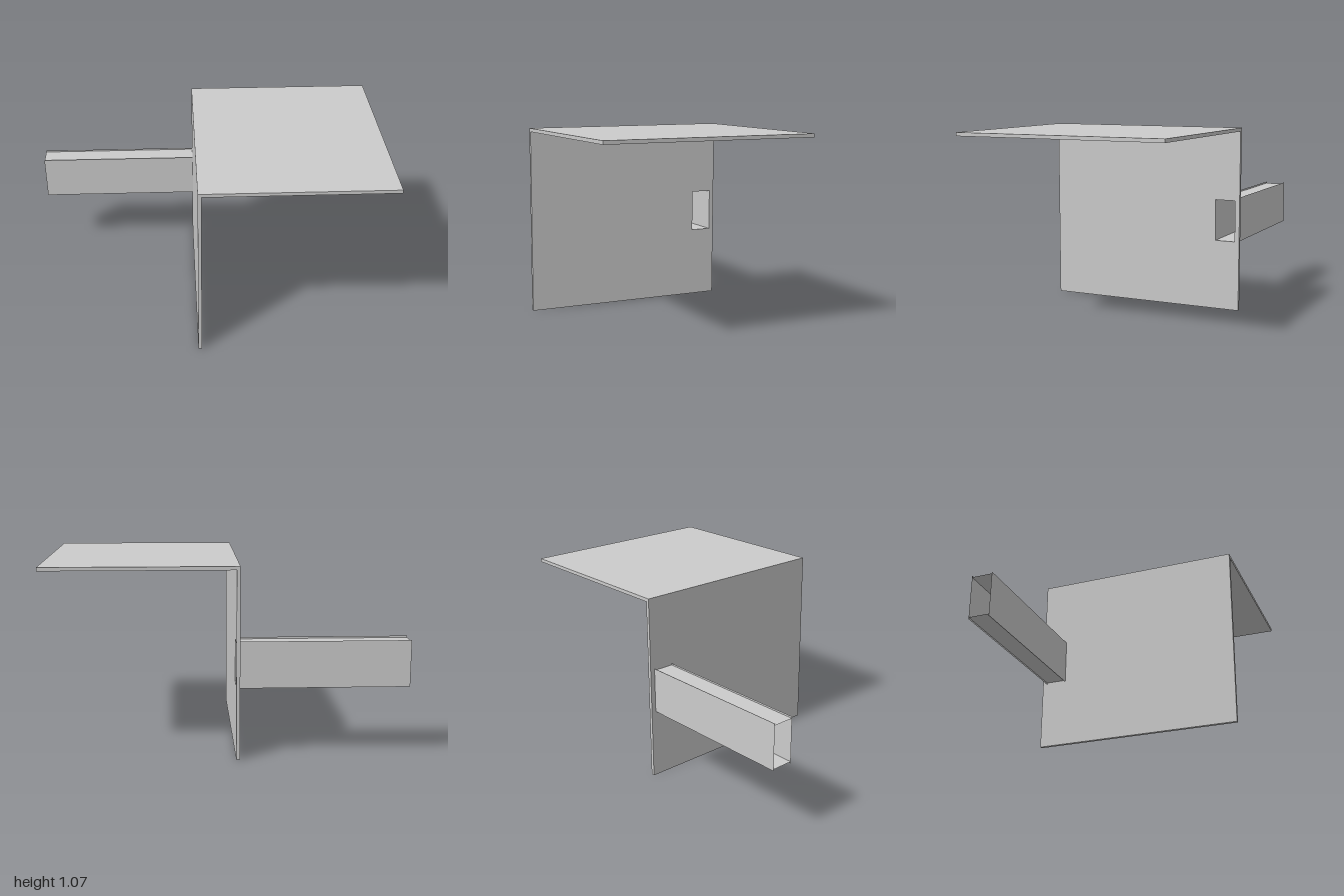
import * as THREE from 'three';

const material = new THREE.MeshStandardMaterial({ color: 0xcccccc, flatShading: true });
const sheetMaterial = new THREE.MeshStandardMaterial({
  color: 0xcccccc, flatShading: true, side: THREE.DoubleSide,
});

// Main dimensions
const T = 0.02;                       // panel thickness
const HEIGHT = 1.067, DEPTH = 1.2;
const WALL_X = -0.067;                // outer face of the wall
const duct = { z0: -0.573, z1: -0.453, y0: 0.407, y1: 0.647, lip: 0.01 };

function rectangle(PathType, x0, y0, x1, y1) {
  return new PathType([[x0, y0], [x1, y0], [x1, y1], [x0, y1]].map(p => new THREE.Vector2(...p)));
}

export function createModel() {
  const model = new THREE.Group();
  const add = (name, geometry, mat, x, y, z, parent = model) => {
    const mesh = new THREE.Mesh(geometry, mat);
    mesh.name = name;
    mesh.position.set(x, y, z);
    parent.add(mesh);
    return mesh;
  };

  // Upright wall with a rectangular opening; shape x runs along -z, extruded along +x
  const outline = rectangle(THREE.Shape, -DEPTH / 2, 0, DEPTH / 2, HEIGHT - T);
  outline.holes.push(rectangle(THREE.Path, -duct.z1, duct.y0, -duct.z0, duct.y1));
  const wall = new THREE.ExtrudeGeometry(outline, { depth: T, bevelEnabled: false });
  wall.rotateY(Math.PI / 2);
  add('wall', wall, material, WALL_X, 0, 0);

  // Flat roof resting on the wall
  const roofLength = 1 - WALL_X;
  add('roof', new THREE.BoxGeometry(roofLength, T, DEPTH), material,
    WALL_X + roofLength / 2, HEIGHT - T / 2, 0);

  // Open duct of thin sheets: the side sheets stand slightly proud of top and bottom
  const group = new THREE.Group();
  group.name = 'duct';
  model.add(group);
  const length = WALL_X + 1, midX = (WALL_X - 1) / 2;
  const midY = (duct.y0 + duct.y1) / 2, midZ = (duct.z0 + duct.z1) / 2;
  const sideHeight = duct.y1 - duct.y0 + 2 * duct.lip;
  for (const [name, z] of [['ductBack', duct.z0], ['ductFront', duct.z1]])
    add(name, new THREE.PlaneGeometry(length, sideHeight), sheetMaterial, midX, midY, z, group);
  for (const [name, y] of [['ductBottom', duct.y0], ['ductTop', duct.y1]])
    add(name, new THREE.PlaneGeometry(length, duct.z1 - duct.z0).rotateX(-Math.PI / 2),
      sheetMaterial, midX, y, midZ, group);

  return model;
}
